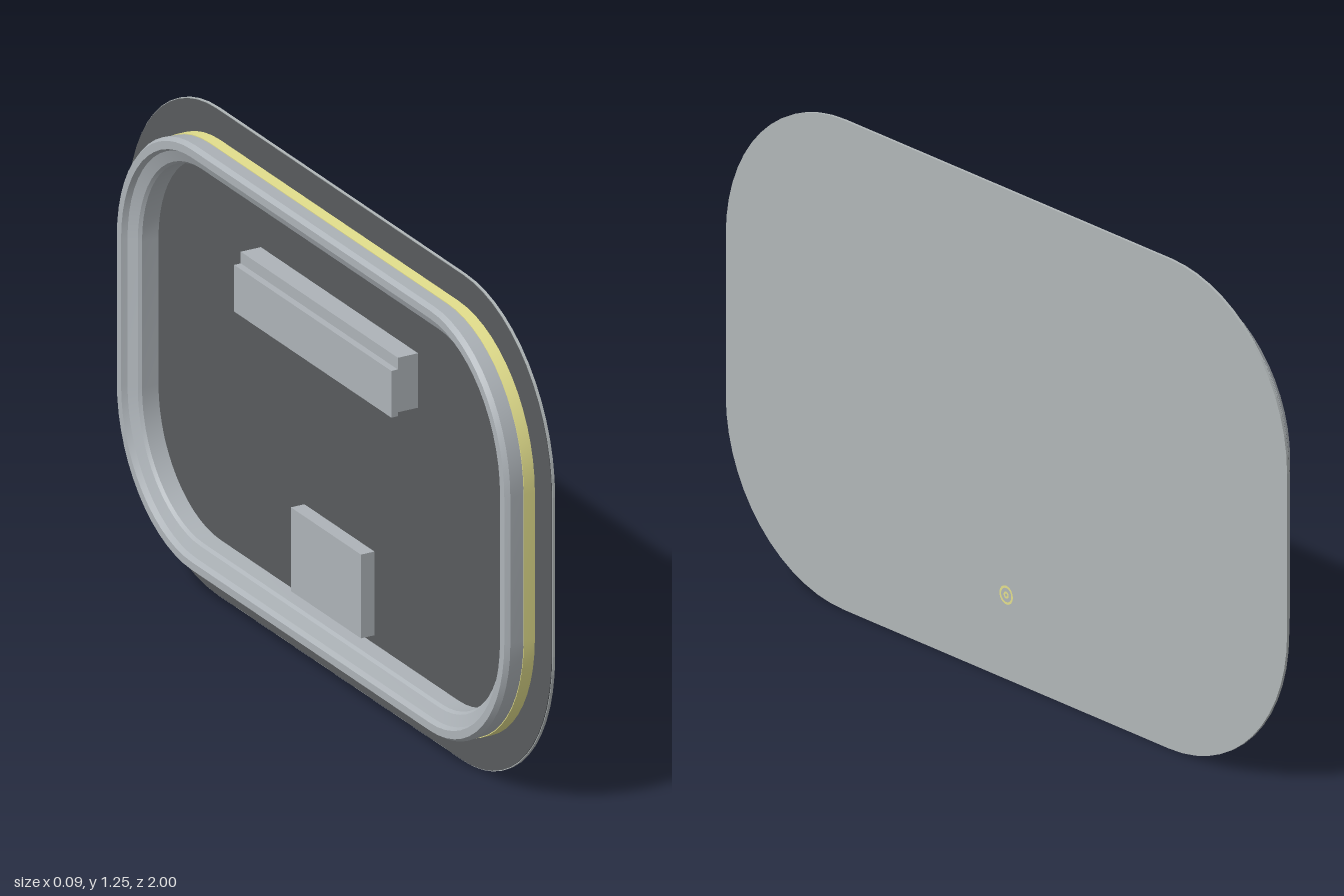
import * as THREE from 'three';
import { toCreasedNormals } from 'three/addons/utils/BufferGeometryUtils.js';

const mirrorGrey = new THREE.MeshStandardMaterial({ name: 'mirrorGrey', color: 0xb0b6b7 });
const frameGrey = new THREE.MeshStandardMaterial({ name: 'frameGrey', color: 0xadb3b8 });
const backDark = new THREE.MeshStandardMaterial({ name: 'backDark', color: 0x585b5d });
const lightYellow = new THREE.MeshStandardMaterial({ name: 'lightYellow', color: 0xe2de8c });

// Rounded rectangle as [z, y] points, counted from +z towards +y
function outline(halfZ, halfY, r, steps = 14) {
  const pts = [];
  const corners = [[1, 1], [-1, 1], [-1, -1], [1, -1]];
  corners.forEach(([sz, sy], q) => {
    for (let i = 0; i <= steps; i++) {
      const t = (q + i / steps) * Math.PI / 2;
      pts.push([sz * (halfZ - r) + r * Math.cos(t), sy * (halfY - r) + r * Math.sin(t)]);
    }
  });
  return pts;
}

// Flat rounded panel facing +x, between x0 and x1
function panel(x0, x1, halfZ, halfY, r) {
  const shape = new THREE.Shape(outline(halfZ, halfY, r).map(([z, y]) => new THREE.Vector2(z, y)));
  const geo = new THREE.ExtrudeGeometry(shape, { depth: x1 - x0, bevelEnabled: false });
  return geo.rotateY(Math.PI / 2).translate(x0, 0.625, 0);
}

// Closed profile of [inset, x] points swept round the rounded rectangle
function ring(profile) {
  const pos = [], idx = [];
  let n = 0;
  for (const [inset, x] of profile) {
    const pts = outline(0.92 - inset, 0.5475 - inset, 0.36 - inset);
    n = pts.length;
    for (const [z, y] of pts) pos.push(x, y + 0.6275, z);
  }
  const m = profile.length;
  for (let p = 0; p < m; p++) {
    for (let j = 0; j < n; j++) {
      const k = (j + 1) % n, q = (p + 1) % m;
      const a = p * n + j, b = p * n + k, c = q * n + j, d = q * n + k;
      idx.push(a, b, c, b, d, c);
    }
  }
  const geo = new THREE.BufferGeometry();
  geo.setAttribute('position', new THREE.Float32BufferAttribute(pos, 3));
  geo.setIndex(idx);
  return toCreasedNormals(geo, 0.5);
}

// Box given by its x and y limits and its width along z
function block(x0, x1, y0, y1, width) {
  return new THREE.BoxGeometry(x1 - x0, y1 - y0, width)
    .translate((x0 + x1) / 2, (y0 + y1) / 2, 0);
}

export function createModel() {
  const model = new THREE.Group();
  model.name = 'wallMirror';
  const add = (name, geo, mat) => {
    const mesh = new THREE.Mesh(geo, mat);
    mesh.name = name;
    model.add(mesh);
    return mesh;
  };

  // Mirror glass with its dark backing
  add('mirrorGlass', panel(0.037, 0.044, 1, 0.625, 0.42), mirrorGrey);
  add('mirrorBacking', panel(0.035, 0.037, 0.998, 0.623, 0.418), backDark);

  // Light strip behind the glass and the channel frame behind it
  add('lightStrip', ring([[0, 0.036], [0, 0.005], [0.03, 0.005], [0.03, 0.036]]), lightYellow);
  add('backFrame', ring([
    [0.002, 0.006], [0, -0.032], [0.008, -0.044], [0.028, -0.044], [0.034, -0.03],
    [0.062, -0.018], [0.068, -0.01], [0.068, 0.036], [0.032, 0.036], [0.032, 0.006],
  ]), frameGrey);

  // Hanging cleat: body against the glass, lip hanging at the rear
  add('hangingCleat', block(-0.02, 0.036, 0.83, 0.97, 0.74), frameGrey);
  add('cleatLip', block(-0.038, -0.02, 0.82, 0.94, 0.74), frameGrey);

  // Switch housing behind the touch mark
  add('switchHousing', block(-0.002, 0.036, 0.17, 0.385, 0.33), frameGrey);

  // Touch mark on the glass
  const place = (geo) => geo.rotateY(Math.PI / 2).translate(0.0448, 0.215, 0);
  add('touchRing', place(new THREE.RingGeometry(0.018, 0.024, 24)), lightYellow);
  add('touchDot', place(new THREE.RingGeometry(0.004, 0.009, 16)), lightYellow);

  return model;
}
